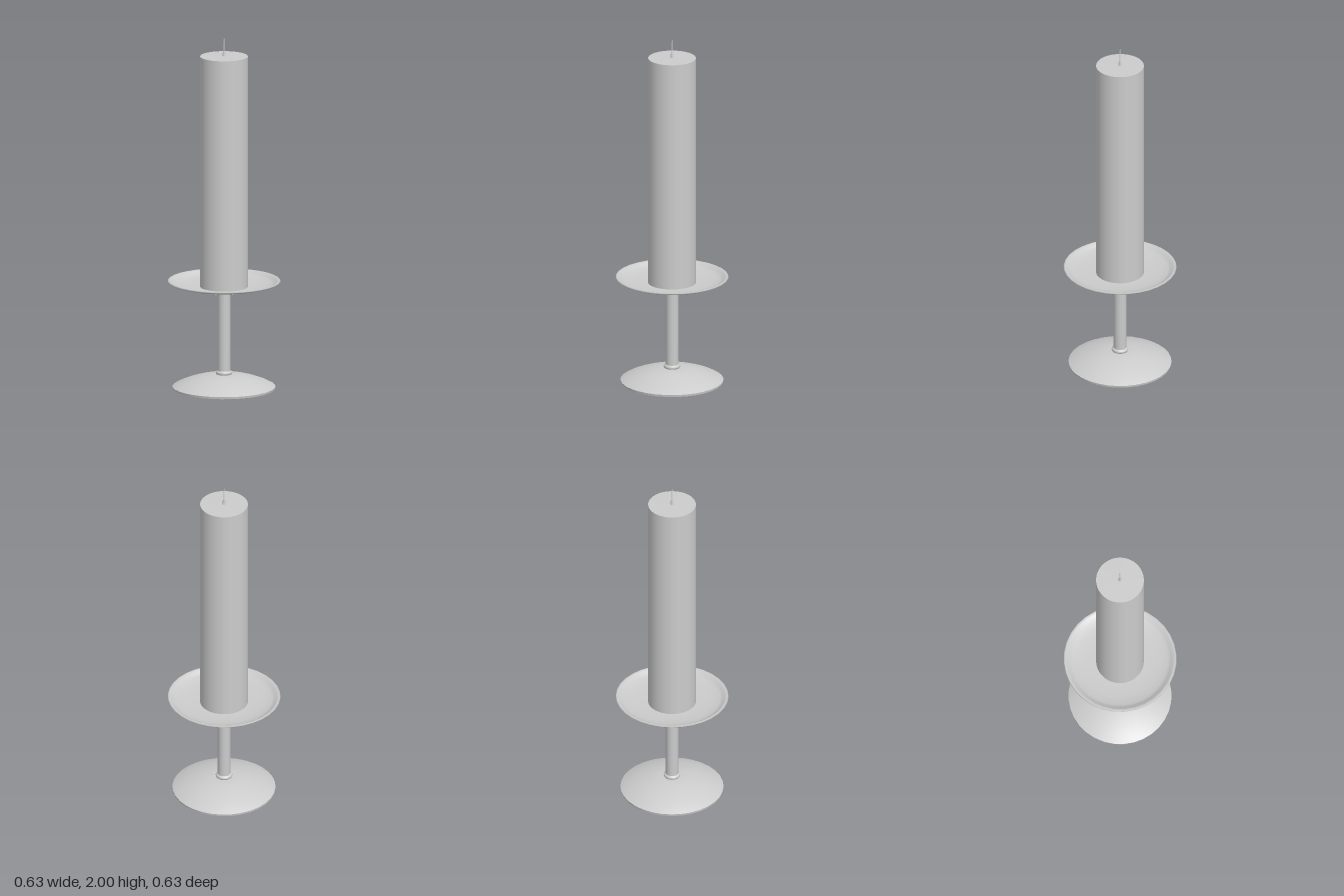
import * as THREE from 'three';

const material = new THREE.MeshStandardMaterial({ color: 0xcccccc });

// Turned part from a profile of [radius, height] pairs, listed from bottom to top
function turned(name, profile, segments) {
  const points = profile.map(([r, y]) => new THREE.Vector2(r, y));
  const mesh = new THREE.Mesh(new THREE.LatheGeometry(points, segments), material);
  mesh.name = name;
  return mesh;
}

export function createModel() {
  const group = new THREE.Group();
  group.name = 'candlestick';

  // Low domed foot; doubled points keep the bottom edge crisp
  group.add(turned('foot', [
    [0, 0], [0.283, 0], [0.283, 0], [0.285, 0.012], [0.285, 0.012], [0.25, 0.031],
    [0.2, 0.05], [0.15, 0.065], [0.1, 0.076], [0.06, 0.081], [0, 0.082],
  ], 32));

  // Small rounded ring where the stem meets the foot
  group.add(turned('collar', [
    [0.036, 0.078], [0.043, 0.081], [0.046, 0.089], [0.043, 0.097], [0.035, 0.101],
  ], 32));

  // Straight stem
  group.add(turned('stem', [[0.035, 0.075], [0.035, 0.565]], 32));

  // Shallow drip dish with a rolled rim
  group.add(turned('dish', [
    [0, 0.55], [0.05, 0.551], [0.1, 0.556], [0.17, 0.57], [0.24, 0.584], [0.29, 0.595],
    [0.308, 0.602], [0.313, 0.608], [0.307, 0.612], [0.295, 0.609],
    [0.283, 0.598], [0.265, 0.589], [0.22, 0.581], [0.15, 0.576], [0, 0.574],
  ], 32));

  // Candle body with its flat top blending smoothly in shading toward the wick
  group.add(turned('candle', [
    [0, 0.572], [0.132, 0.572], [0.132, 0.572], [0.132, 1.878], [0.132, 1.878],
    [0.008, 1.88],
  ], 64));

  // Wick with a thicker waxed base
  group.add(turned('wick', [
    [0.009, 1.875], [0.008, 1.895], [0.004, 1.905], [0.003, 1.96], [0, 2],
  ], 12));

  return group;
}
